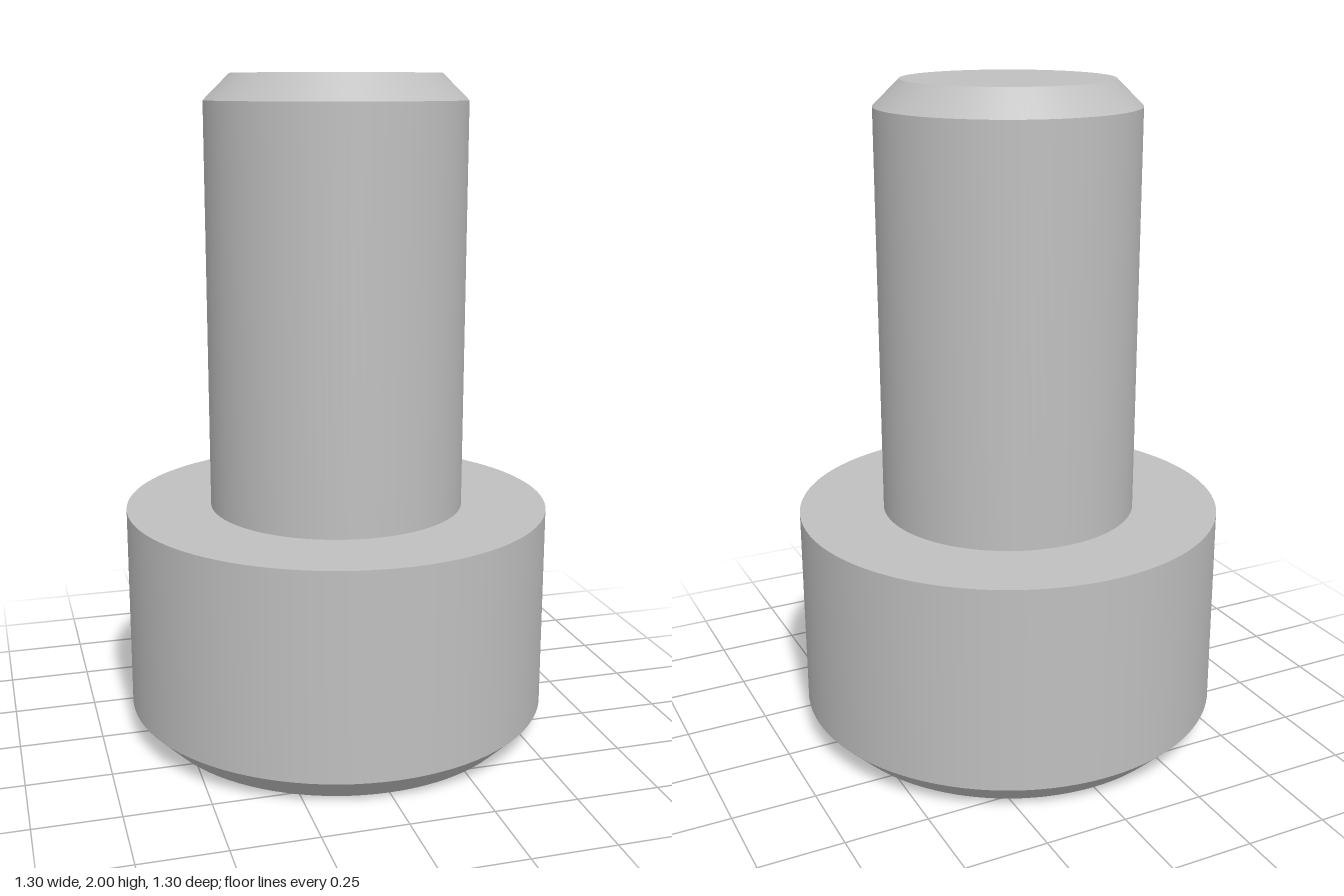
import * as THREE from 'three';
import { mergeGeometries } from 'three/addons/utils/BufferGeometryUtils.js';

const SEGMENTS = 96;

// Turned solid: each profile step is its own band, so edges stay sharp and walls stay smooth
function turned(name, profile, material) {
  const points = profile.map(([r, y]) => new THREE.Vector2(r, y));
  const bands = points.slice(1).map((p, i) => new THREE.LatheGeometry([points[i], p], SEGMENTS));
  const mesh = new THREE.Mesh(mergeGeometries(bands), material);
  mesh.name = name;
  return mesh;
}

export function createModel() {
  const model = new THREE.Group();
  model.name = 'capScrew';
  const steel = new THREE.MeshStandardMaterial({ color: 0xbfbfbf });
  steel.name = 'steel grey';

  // Wide head with a chamfered underside and a flat shoulder around the shank
  model.add(turned('head', [[0, 0], [0.57, 0], [0.648, 0.078], [0.648, 0.703], [0.389, 0.703]], steel));

  // Plain shank with a chamfered tip
  model.add(turned('shank', [[0.389, 0.703], [0.389, 1.923], [0.311, 2], [0, 2]], steel));

  return model;
}
